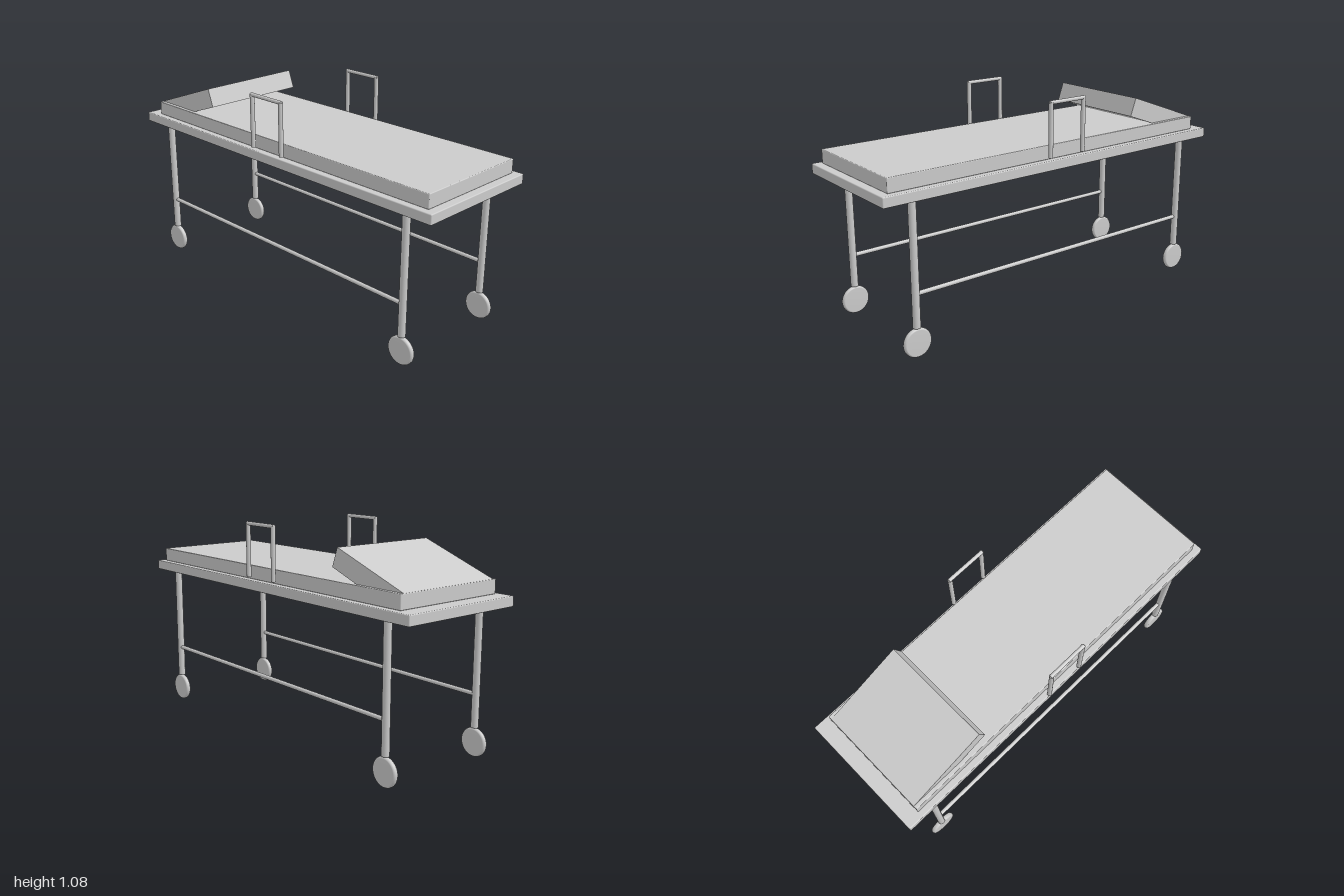
import * as THREE from 'three';
import { RoundedBoxGeometry } from 'three/addons/geometries/RoundedBoxGeometry.js';

export function createModel() {
  const model = new THREE.Group();
  model.name = 'wheeledStretcher';
  const material = new THREE.MeshStandardMaterial({ color: 0xcccccc });

  function add(name, geometry, x, y, z, parent = model) {
    const mesh = new THREE.Mesh(geometry, material);
    mesh.name = name;
    mesh.position.set(x, y, z);
    parent.add(mesh);
    return mesh;
  }

  // Deck and mattress
  add('deck', new RoundedBoxGeometry(0.666, 0.05, 2, 2, 0.005), 0, 0.77, 0);
  add('mattress', new RoundedBoxGeometry(0.604, 0.07, 1.88, 2, 0.004), 0, 0.83, 0.02);

  // Raised headrest, hinged at the rear top edge of the mattress
  const hinge = new THREE.Group();
  hinge.name = 'headrest';
  hinge.position.set(0, 0.865, -0.918);
  hinge.rotation.x = -0.345;
  model.add(hinge);
  add('headrestPad', new THREE.BoxGeometry(0.566, 0.097, 0.438), 0, -0.0485, 0.219, hinge);

  // Shared tubes and wheel
  const leg = new THREE.CylinderGeometry(0.0185, 0.0185, 0.605, 24);
  const brace = new THREE.CylinderGeometry(0.0105, 0.0105, 1.66, 20).rotateX(Math.PI / 2);
  const post = new THREE.CylinderGeometry(0.0115, 0.0115, 0.264, 20);
  const grip = new THREE.CylinderGeometry(0.0095, 0.0095, 0.214, 20).rotateX(Math.PI / 2);
  const wheelProfile = [
    [0, -0.013], [0.062, -0.013], [0.067, -0.011], [0.071, -0.005],
    [0.071, 0.005], [0.067, 0.011], [0.062, 0.013], [0, 0.013],
  ].map(([r, y]) => new THREE.Vector2(r, y));
  const wheel = new THREE.LatheGeometry(wheelProfile, 40).rotateZ(Math.PI / 2);

  for (const side of [-1, 1]) {
    const sideName = side > 0 ? 'left' : 'right';
    add(`${sideName}Brace`, brace, side * 0.293, 0.308, 0);

    // Side handle: two posts and a top grip
    const handle = new THREE.Group();
    handle.name = `${sideName}Handle`;
    handle.position.x = side * 0.3305;
    model.add(handle);
    add('grip', grip, 0, 1.0745, 0, handle);

    for (const end of [-1, 1]) {
      const endName = end > 0 ? 'Front' : 'Rear';
      add(`post${endName}`, post, 0, 0.943, end * 0.1, handle);
      add(`${sideName}${endName}Leg`, leg, side * 0.293, 0.4475, end * 0.84);
      add(`${sideName}${endName}Wheel`, wheel, side * 0.293, 0.072, end * 0.84);
    }
  }
  return model;
}
